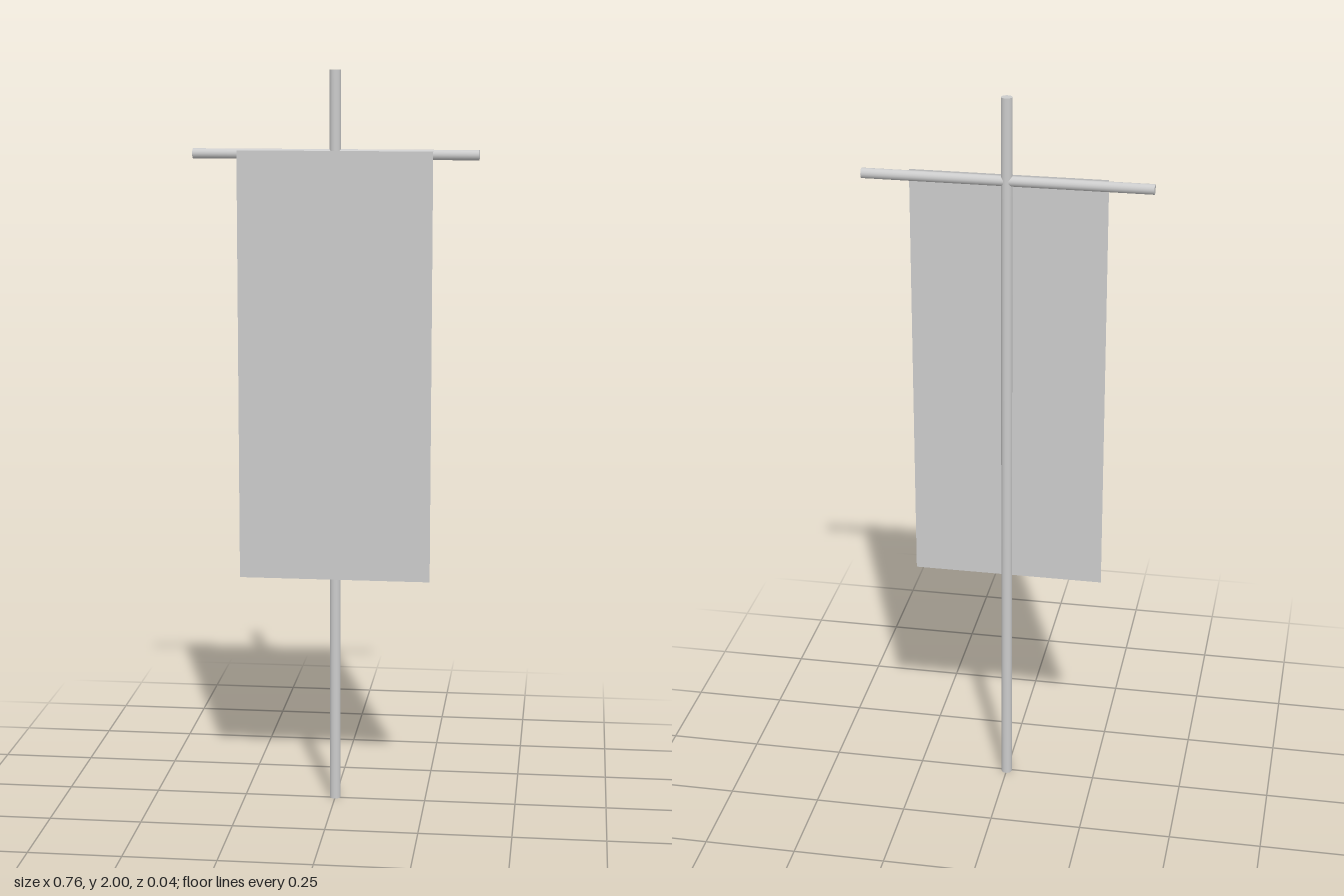
import * as THREE from 'three';

export function createModel() {
  const group = new THREE.Group();
  const wood = new THREE.MeshStandardMaterial({ color: 0xcccccc });
  const fabric = new THREE.MeshStandardMaterial({ color: 0xcccccc, side: THREE.DoubleSide });
  const rodZ = -0.004;

  const add = (name, geometry, material, x, y, z) => {
    const mesh = new THREE.Mesh(geometry, material);
    mesh.name = name;
    mesh.position.set(x, y, z);
    group.add(mesh);
    return mesh;
  };

  // Upright pole and the crossbar running through it
  add('pole', new THREE.CylinderGeometry(0.015, 0.015, 2, 16), wood, 0, 1, rodZ);
  const bar = add('crossbar', new THREE.CylinderGeometry(0.0135, 0.0135, 0.76, 16), wood, 0, 1.78, rodZ);
  bar.rotation.z = Math.PI / 2;

  // Flat cloth hanging just in front of the pole
  add('bannerCloth', new THREE.PlaneGeometry(0.52, 1.16), fabric, 0, 1.21, 0.019);

  return group;
}
